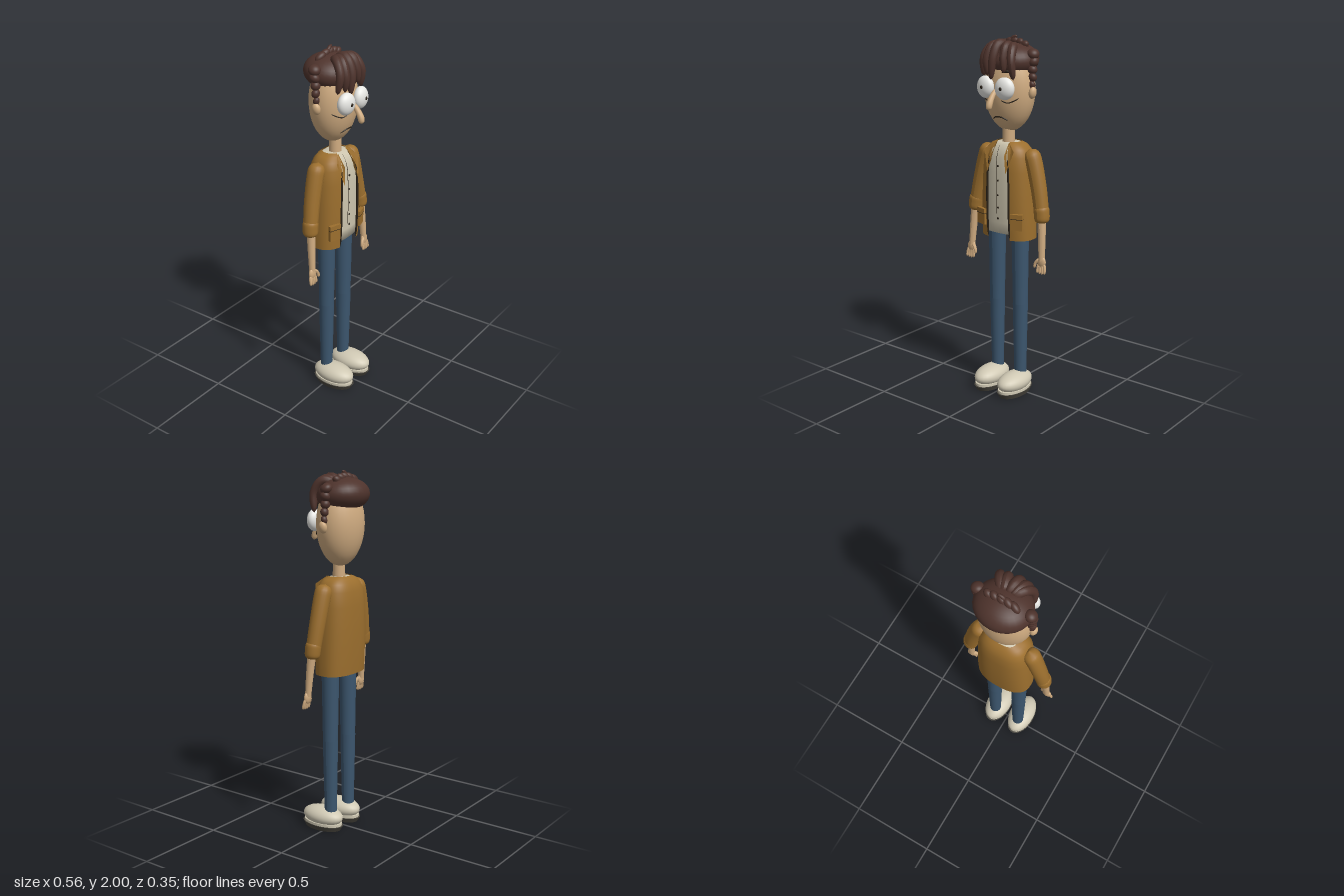
import * as THREE from 'three';

const mat = (name, color, side = THREE.FrontSide) => {
  const m = new THREE.MeshStandardMaterial({ color, side });
  m.name = name;
  return m;
};

export function createModel() {
  const skin = mat('skin', 0xcfab80), hair = mat('hair', 0x4e332c);
  const tan = mat('jacket tan', 0x9c6f2e, THREE.DoubleSide), cream = mat('shirt cream', 0xcfc7b0, THREE.DoubleSide);
  const denim = mat('denim', 0x3c566e), shoeMat = mat('shoe canvas', 0xd0c9b4);
  const white = mat('eye white', 0xeeeeea), dark = mat('dark line', 0x2a2218), rubber = mat('sole rubber', 0x47443c);
  const model = new THREE.Group();
  model.name = 'standingMan';

  const add = (name, geo, material, pos = [0, 0, 0], scale = [1, 1, 1], rot = [0, 0, 0]) => {
    const m = new THREE.Mesh(geo, material);
    m.name = name;
    m.position.set(...pos);
    m.scale.set(...scale);
    m.rotation.set(...rot);
    model.add(m);
    return m;
  };
  const ball = new THREE.SphereGeometry(1, 28, 20);
  const blob = (name, material, pos, size, rot) => add(name, ball, material, pos, size, rot);
  const bothSides = (fn) => [[1, 'left'], [-1, 'right']].forEach(([s, n]) => fn(s, n));

  // Tube along points whose radius follows a function of its length
  const taper = (name, material, pts, radius, segs = 20, sides = 14) => {
    const curve = new THREE.CatmullRomCurve3(pts.map((p) => new THREE.Vector3(...p)));
    const geo = new THREE.TubeGeometry(curve, segs, 1, sides);
    const pos = geo.attributes.position, v = new THREE.Vector3();
    for (let i = 0; i <= segs; i++) {
      const c = curve.getPointAt(i / segs), r = radius(i / segs);
      for (let j = 0; j <= sides; j++) {
        const k = i * (sides + 1) + j;
        v.fromBufferAttribute(pos, k).sub(c).multiplyScalar(r).add(c);
        pos.setXYZ(k, v.x, v.y, v.z);
      }
    }
    geo.computeVertexNormals();
    return add(name, geo, material, [0, 0, 0]);
  };
  const lerp = THREE.MathUtils.lerp;
  const linear = (a, b) => (t) => lerp(a, b, t);
  const rounded = (a, b = a) => (t) => lerp(a, b, t) * Math.pow(Math.max(0, 1 - Math.abs(2 * t - 1) ** 5), 0.5);
  const line = (name, pts, r) => taper(name, dark, pts, rounded(r), 16, 6);

  // Head, ears and neck
  const H = { y: 1.715, z: -0.022, rx: 0.146, ry: 0.226, rz: 0.121 };
  const onFace = (x, y) => [x, y, H.z + 0.001 + H.rz * Math.sqrt(Math.max(0, 1 - (x / H.rx) ** 2 - ((y - H.y) / H.ry) ** 2))];
  blob('head', skin, [0, H.y, H.z], [H.rx, H.ry, H.rz]);
  add('neck', new THREE.CylinderGeometry(0.032, 0.036, 0.17, 24), skin, [0, 1.45, -0.012]);
  taper('nose', skin, [[0, 1.73, 0.085], [0, 1.69, 0.125], [0, 1.65, 0.15], [0, 1.618, 0.157]], rounded(0.011, 0.02));
  line('mouth', [[-0.05, 1.557], [-0.025, 1.572], [0, 1.576], [0.025, 1.572], [0.05, 1.557]].map((p) => onFace(...p)), 0.004);
  bothSides((s, n) => {
    blob(n + 'Ear', skin, [s * 0.153, 1.705, -0.02], [0.02, 0.032, 0.024], [0, 0, -s * 0.2]);
    blob(n + 'Eye', white, [s * 0.064, 1.732, 0.103], [0.056, 0.059, 0.036], [0, s * 0.15, 0]);
    blob(n + 'Pupil', dark, [s * 0.063, 1.733, 0.137], [0.01, 0.01, 0.006]);
    line(n + 'EyeBag', [[0.03, 1.667], [0.065, 1.655], [0.1, 1.668], [0.118, 1.682]].map(([x, y]) => onFace(s * x, y)), 0.003);
    line(n + 'Eyebrow', [[0.03, 1.812], [0.06, 1.818], [0.09, 1.808]].map(([x, y]) => onFace(s * x, y)), 0.007);
  });

  // Hair: cap, fringe locks, twist on the crown, side curls
  blob('hairCap', hair, [0, 1.868, -0.04], [0.15, 0.092, 0.137], [0.1, 0, 0]);
  [
    [[-0.02, 1.93, -0.01], [-0.06, 1.945, 0.04], [-0.088, 1.89, 0.082], [-0.1, 1.785, 0.075]],
    [[-0.02, 1.94, -0.01], [-0.045, 1.945, 0.06], [-0.06, 1.88, 0.096], [-0.06, 1.79, 0.092]],
    [[0, 1.94, -0.01], [-0.01, 1.955, 0.06], [-0.015, 1.89, 0.1], [-0.028, 1.77, 0.104]],
    [[0.02, 1.94, -0.01], [0.04, 1.945, 0.06], [0.045, 1.89, 0.09], [0.05, 1.81, 0.094]],
    [[0.03, 1.93, -0.01], [0.07, 1.94, 0.045], [0.092, 1.88, 0.085], [0.1, 1.775, 0.077]],
  ].forEach((pts, i) => taper('fringeLock' + (i + 1), hair, pts, rounded(0.029, 0.017)));
  [-0.068, -0.032, 0.004, 0.04, 0.075].forEach((x, i) =>
    blob('crownTwist' + (i + 1), hair, [x, 1.962 - 2.5 * x * x, -0.054], [0.034 - i * 0.002, 0.02, 0.019], [0, -0.35, 0.5]));
  taper('crownTip', hair, [[-0.015, 1.96, -0.05], [0, 1.982, -0.05], [0.025, 1.992, -0.052]], rounded(0.013, 0.007));
  bothSides((s, n) => [1.905, 1.865, 1.825, 1.785, 1.745, 1.712].forEach((y, i) =>
    blob(n + 'Curl' + (i + 1), hair, [s * (0.143 + 0.004 * (i % 2)), y, -0.036 + 0.003 * i],
      [0.033 - i * 0.003, 0.027 - i * 0.001, 0.033 - i * 0.004], [0.3, 0, s * (i % 2 ? 0.5 : -0.3)])));

  // Torso cross-sections: y, half width, half depth, half of the front opening
  const torso = [
    [0.905, 0.16, 0.1, 0.074], [1.0, 0.16, 0.106, 0.074], [1.15, 0.156, 0.11, 0.074], [1.28, 0.15, 0.108, 0.07],
    [1.36, 0.142, 0.102, 0.062], [1.4, 0.124, 0.087, 0.053], [1.424, 0.1, 0.07, 0.046], [1.437, 0.068, 0.052, 0.04],
  ];
  const N = 2.5, Z = -0.02;
  const ringPoint = (rx, rz, a) => {
    const f = (v) => Math.sign(v) * Math.abs(v) ** (2 / N);
    return [rx * f(Math.sin(a)), Z + rz * f(Math.cos(a))];
  };
  const loft = (rows, steps = 56) => {
    const p = [], idx = [], w = steps + 1;
    rows.forEach(([y, rx, rz, open], j) => {
      const a0 = Math.asin((open / rx) ** (N / 2));
      for (let i = 0; i <= steps; i++) {
        const [x, z] = ringPoint(rx, rz, lerp(a0, Math.PI * 2 - a0, i / steps));
        p.push(x, y, z);
        const a = (j - 1) * w + i;
        if (j && i < steps) idx.push(a, a + 1, a + w, a + 1, a + w + 1, a + w);
      }
    });
    const g = new THREE.BufferGeometry();
    g.setAttribute('position', new THREE.Float32BufferAttribute(p, 3));
    g.setIndex(idx);
    g.computeVertexNormals();
    return g;
  };
  add('jacketBody', loft(torso), tan);
  const shirtRows = torso.map(([y, rx, rz]) => [Math.max(y - 0.004, 0.935), rx * 0.93, rz * 0.93, 0]);
  add('shirt', loft([[0.935, 0.001, 0.001, 0], ...shirtRows, [1.432, 0.001, 0.001, 0]]), cream);
  line('shirtPlacket', torso.slice(1, 7).map(([y, , rz]) => [-0.012, y, Z + rz * 0.93]), 0.0015);
  [1.02, 1.08, 1.15, 1.23, 1.31].forEach((y, i) => blob('button' + (i + 1), dark, [0, y, 0.081], [0.006, 0.006, 0.004]));

  bothSides((s, n) => {
    // Jacket edge, lapel and pocket
    const edge = torso.slice(0, 5).map(([y, rx, rz, open]) => {
      const [x, z] = ringPoint(rx, rz, Math.asin((open / rx) ** (N / 2)));
      return [s * x, y, z];
    });
    line(n + 'JacketEdge', edge, 0.006);
    const lapel = new THREE.BufferGeometry().setFromPoints([
      [0.04, 1.437, 0.035], [0.1, 1.395, 0.072], [0.062, 1.275, 0.095], [0.045, 1.37, 0.085],
    ].map(([x, y, z]) => new THREE.Vector3(s * x, y, z)));
    lapel.setIndex(s > 0 ? [0, 2, 1, 0, 3, 2] : [0, 1, 2, 0, 2, 3]);
    lapel.computeVertexNormals();
    add(n + 'Lapel', lapel, tan);
    const tilt = [0, s * 0.3, 0];
    add(n + 'Pocket', new THREE.BoxGeometry(0.068, 0.085, 0.016), tan, [s * 0.121, 1.012, 0.071], [1, 1, 1], tilt);
    add(n + 'PocketFlap', new THREE.BoxGeometry(0.07, 0.026, 0.02), tan, [s * 0.121, 1.046, 0.072], [1, 1, 1], tilt);
    add(n + 'PocketSeam', new THREE.BoxGeometry(0.07, 0.003, 0.021), dark, [s * 0.121, 1.032, 0.072], [1, 1, 1], tilt);

    // Sleeve, rolled cuff, forearm and hand
    taper(n + 'Sleeve', tan, [[s * 0.135, 1.405, -0.022], [s * 0.162, 1.34, -0.022], [s * 0.2, 1.2, -0.018], [s * 0.228, 1.06, -0.01]],
      (t) => t < 0.14 ? 0.047 * Math.sqrt(1 - (1 - t / 0.14) ** 2) : lerp(0.047, 0.04, (t - 0.14) / 0.86), 28, 20);
    taper(n + 'Cuff', tan, [[s * 0.222, 1.11, -0.011], [s * 0.229, 1.06, -0.009], [s * 0.233, 1.012, -0.006]], rounded(0.044, 0.041), 20, 20);
    taper(n + 'Forearm', skin, [[s * 0.232, 1.04, -0.004], [s * 0.24, 0.93, 0.004], [s * 0.246, 0.81, 0.012]], linear(0.024, 0.017));
    blob(n + 'Palm', skin, [s * 0.247, 0.802, 0.014], [0.027, 0.034, 0.014]);
    [-1.5, -0.5, 0.5, 1.5].forEach((k, i) => taper(n + 'Finger' + (i + 1), skin,
      [[s * (0.248 + k * 0.012), 0.795, 0.015], [s * (0.25 + k * 0.0155), 0.762, 0.021], [s * (0.25 + k * 0.016), 0.732 + Math.abs(k) * 0.004, 0.025]],
      rounded(0.0085, 0.007), 10, 8));
    taper(n + 'Thumb', skin, [[s * 0.235, 0.82, 0.016], [s * 0.214, 0.795, 0.024], [s * 0.208, 0.765, 0.027]], rounded(0.01, 0.008), 10, 8);

    // Trouser leg in two lengths, then the shoe
    taper(n + 'Thigh', denim, [[s * 0.08, 1.0, -0.013], [s * 0.082, 0.52, -0.014]], linear(0.05, 0.042), 4, 24);
    taper(n + 'Shin', denim, [[s * 0.082, 0.525, -0.014], [s * 0.082, 0.09, -0.016]], linear(0.043, 0.034), 4, 24);
    blob(n + 'Shoe', shoeMat, [s * 0.083, 0.07, 0.038], [0.075, 0.055, 0.128]);
    add(n + 'SoleBand', new THREE.CylinderGeometry(1, 1, 0.014, 36), shoeMat, [s * 0.083, 0.034, 0.038], [0.07, 1, 0.122]);
    add(n + 'Sole', new THREE.CylinderGeometry(1, 0.88, 0.027, 36), rubber, [s * 0.083, 0.0135, 0.038], [0.075, 1, 0.131]);
  });
  return model;
}
